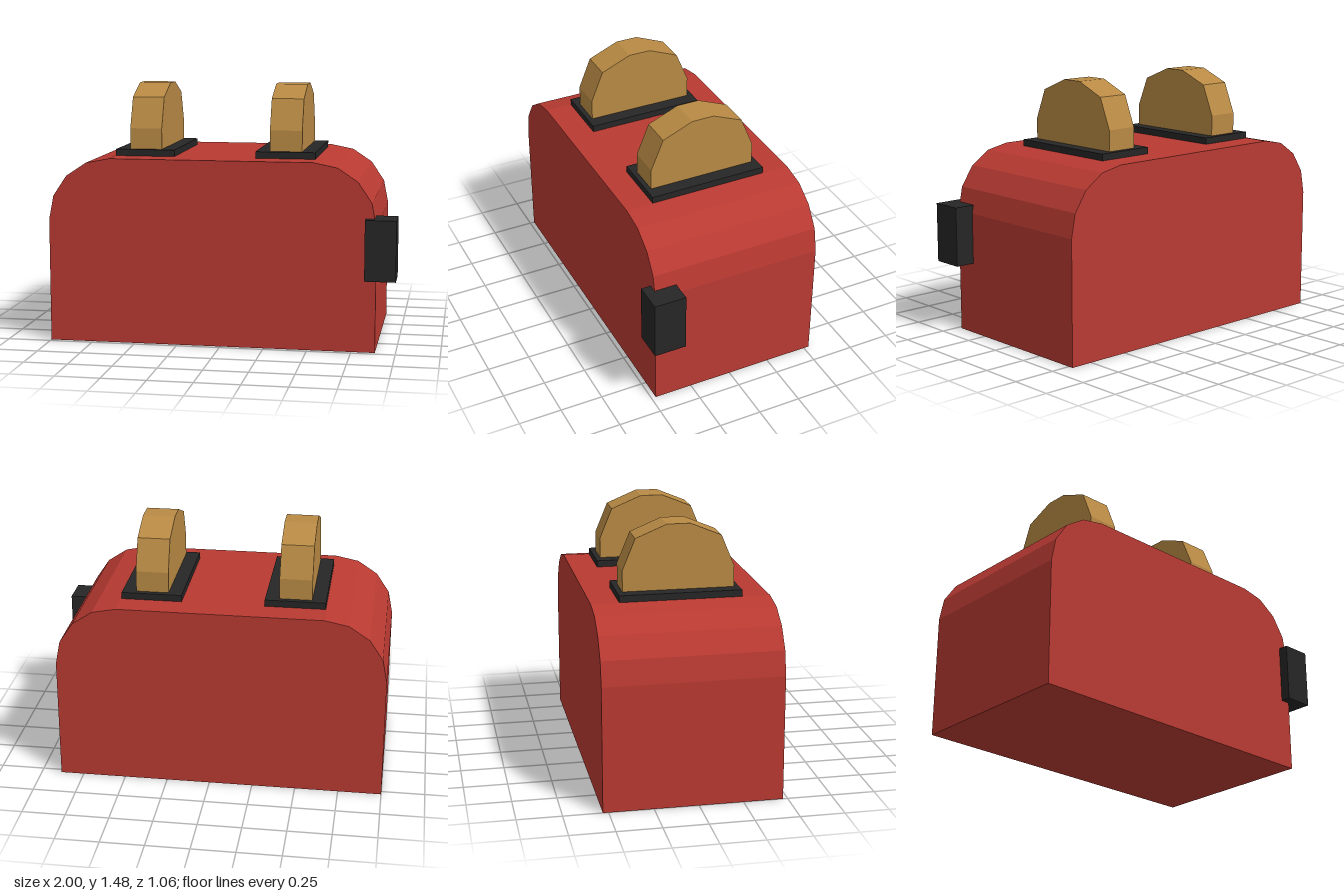
import * as THREE from 'three';

const red = new THREE.MeshStandardMaterial({ color: 0xb93a32 });
red.name = 'red enamel';
const tan = new THREE.MeshStandardMaterial({ color: 0xb98a44 });
tan.name = 'toasted bread';
const black = new THREE.MeshStandardMaterial({ color: 0x262626 });
black.name = 'black plastic';

// Block with two rounded top corners, extruded along z and centred, standing on y = 0
function archGeometry(width, height, radius, depth) {
  const w = width / 2;
  const shape = new THREE.Shape();
  shape.moveTo(-w, 0);
  shape.lineTo(w, 0);
  shape.lineTo(w, height - radius);
  shape.absarc(w - radius, height - radius, radius, 0, Math.PI / 2, false);
  shape.lineTo(-w + radius, height);
  shape.absarc(-w + radius, height - radius, radius, Math.PI / 2, Math.PI, false);
  shape.lineTo(-w, 0);
  // two curve segments count double on arcs; the small bread corners need half
  const curveSegments = radius > 0.3 ? 2 : 1;
  const geo = new THREE.ExtrudeGeometry(shape, { depth, bevelEnabled: false, curveSegments });
  return geo.translate(0, 0, -depth / 2);
}

function add(group, name, geometry, material, x, y, z) {
  const mesh = new THREE.Mesh(geometry, material);
  mesh.name = name;
  mesh.position.set(x, y, z);
  group.add(mesh);
  return mesh;
}

export function createModel() {
  const model = new THREE.Group();
  model.name = 'toaster';

  // Housing
  add(model, 'body', archGeometry(1.885, 1.07, 0.357, 1.005), red, -0.058, 0, -0.029);

  // Two slots, each with a slice of bread
  const slotGeo = new THREE.BoxGeometry(0.345, 0.06, 0.69);
  const breadGeo = archGeometry(0.63, 0.4, 0.25, 0.186).rotateY(Math.PI / 2);
  [['right', -0.467], ['left', 0.35]].forEach(([side, x]) => {
    add(model, side + 'Slot', slotGeo, black, x, 1.078, -0.029);
    add(model, side + 'Toast', breadGeo, tan, x, 1.078, -0.028);
  });

  // Lever on the front left corner
  add(model, 'lever', new THREE.BoxGeometry(0.175, 0.344, 0.187), black, 0.911, 0.59, 0.437);

  return model;
}
